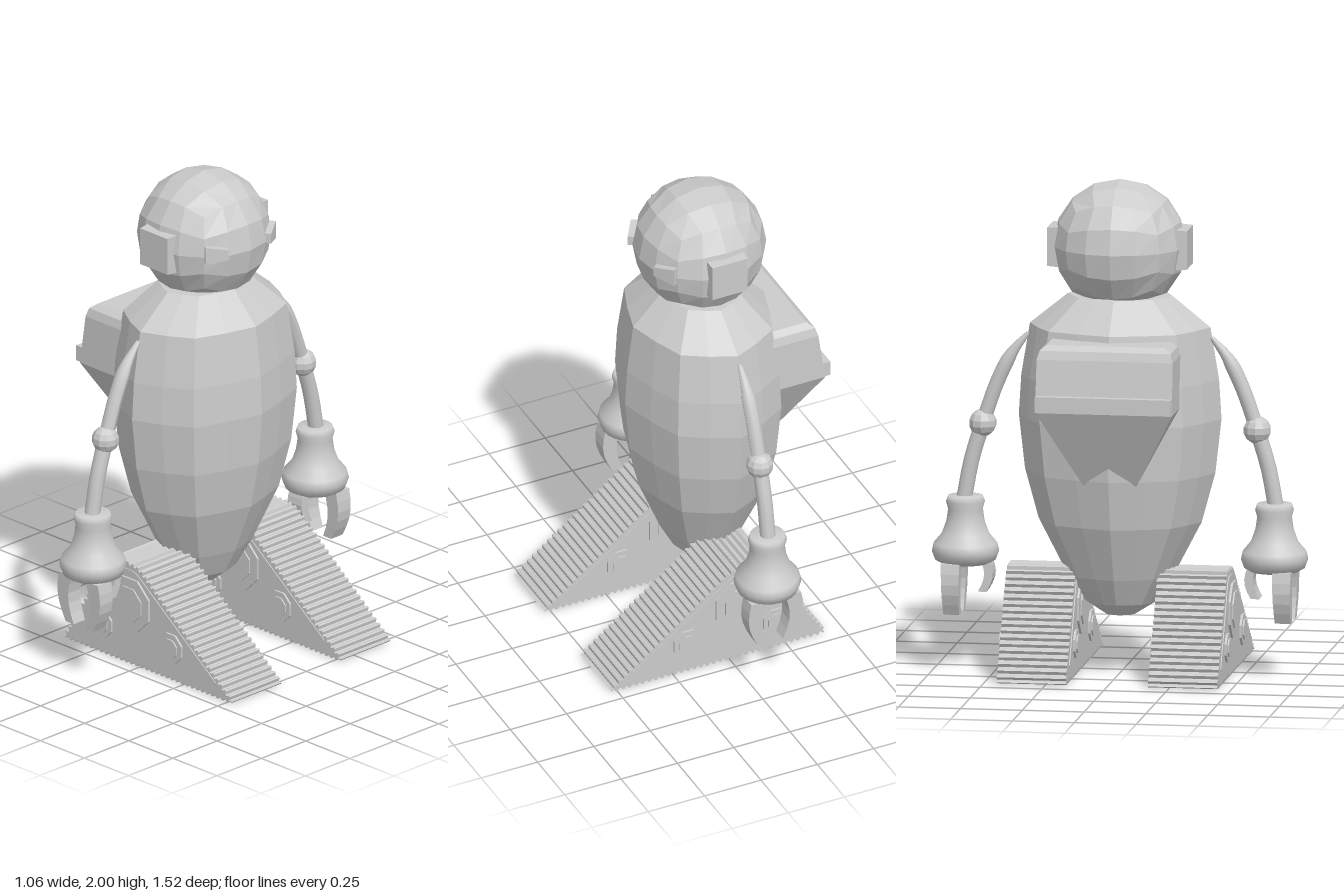
import * as THREE from 'three';

const flat = new THREE.MeshStandardMaterial({ color: 0xcccccc, flatShading: true });
const smooth = new THREE.MeshStandardMaterial({ color: 0xcccccc });
const CX = -0.08; // centre line of head, body and arms

function add(parent, name, geometry, material = flat, x = 0, y = 0, z = 0) {
  const mesh = new THREE.Mesh(geometry, material);
  mesh.name = name;
  mesh.position.set(x, y, z);
  parent.add(mesh);
  return mesh;
}

// Move every vertex of a geometry by a rule
function reshape(geometry, rule) {
  const p = geometry.attributes.position;
  const v = new THREE.Vector3();
  for (let i = 0; i < p.count; i++) {
    v.fromBufferAttribute(p, i);
    rule(v, i);
    p.setXYZ(i, v.x, v.y, v.z);
  }
  geometry.computeVertexNormals();
  return geometry;
}

const lathe = (pts, n) => new THREE.LatheGeometry(pts.map(p => new THREE.Vector2(...p)), n);

// Faceted cube-sphere with a flat underside
function headGeometry(r) {
  return reshape(new THREE.BoxGeometry(2, 2, 2, 4, 4, 4), v => {
    for (const k of ['x', 'y', 'z']) v[k] = Math.tan(v[k] * Math.PI / 4);
    v.setLength(r);
    v.y = Math.max(v.y, -0.21);
  });
}

// Egg-shaped body: soft octagon in plan, wider across z
function bodyGeometry() {
  const profile = [[0, 0.235], [0.06, 0.24], [0.14, 0.29], [0.215, 0.4], [0.33, 0.62], [0.385, 0.82],
    [0.41, 1.04], [0.4, 1.2], [0.365, 1.41], [0.21, 1.535], [0, 1.54]];
  return reshape(lathe(profile, 16), (v, i) => {
    const side = Math.floor(i / profile.length);
    const f = side % 2 ? 0.945 : 1;
    v.x *= 0.79 * f;
    v.z *= f;
  });
}

// Backpack lofted from rows: [y, back x, half width]
function packGeometry() {
  const rows = [[1.385, -0.44, 0.24], [1.365, -0.465, 0.265], [1.33, -0.475, 0.275],
    [1.12, -0.505, 0.277], [0.77, -0.33, 0.09]];
  return reshape(new THREE.BoxGeometry(2, 4, 2, 1, 4, 1), v => {
    const [y, back, half] = rows[Math.round(2 - v.y)];
    v.set(v.x < 0 ? back : -0.2, y, v.z * half);
  });
}

// Rounded polygon path from corners [x, y, rounding]
function roundedPath(corners) {
  const path = new THREE.Path();
  const n = corners.length;
  const at = i => new THREE.Vector2(corners[i % n][0], corners[i % n][1]);
  for (let i = 0; i < n; i++) {
    const c = at(i), d = corners[i][2];
    const a = at(i + n - 1).sub(c).setLength(d).add(c);
    const b = at(i + 1).sub(c).setLength(d).add(c);
    if (i === 0) path.moveTo(a.x, a.y); else path.lineTo(a.x, a.y);
    path.quadraticCurveTo(c.x, c.y, b.x, b.y);
  }
  path.closePath();
  return path;
}

// Triangular track with square treads round its edge
function treadShape() {
  const path = roundedPath([[-0.435, 0, 0.04], [0.55, 0, 0.05], [-0.01, 0.44, 0.05], [-0.165, 0.44, 0.04]]);
  const pts = path.getSpacedPoints(320).slice(0, 320);
  return new THREE.Shape(pts.map((p, i) => {
    const t = pts[(i + 1) % 320].clone().sub(pts[(i + 319) % 320]).normalize();
    const depth = i % 4 < 2 ? 0 : 0.013;
    return new THREE.Vector2(p.x - t.y * depth, p.y + t.x * depth);
  }));
}

function buildTrack(s) {
  const track = new THREE.Group();
  track.name = s > 0 ? 'rightTrack' : 'leftTrack';
  track.position.z = s * 0.306;
  const extrude = (shape, d) =>
    new THREE.ExtrudeGeometry(shape, { depth: d, bevelEnabled: false }).translate(0, 0, -d / 2);
  add(track, 'treadBelt', extrude(treadShape(), 0.28));
  const plate = roundedPath([[-0.345, 0.06, 0.02], [0.445, 0.06, 0.02], [-0.02, 0.41, 0.03], [-0.145, 0.41, 0.03]]);
  add(track, 'sidePlate', extrude(new THREE.Shape(plate.getPoints(3)), 0.288));
  // Octagonal wheels with raised hubs on both faces
  for (const [x, y, r] of [[-0.045, 0.265, 0.12], [-0.2, 0.135, 0.06], [0.19, 0.143, 0.066]]) {
    for (const [name, radius, width] of [['wheel', r, 0.306], ['hub', r * 0.65, 0.318]]) {
      const g = new THREE.CylinderGeometry(radius, radius, width, 8).rotateX(Math.PI / 2).rotateZ(Math.PI / 8);
      add(track, name, g, flat, x, y);
    }
  }
  return track;
}

// Finger: a bent, tapering box; t runs from 0 at the top to 1 at the tip
function finger(w, h, d, bend) {
  return reshape(new THREE.BoxGeometry(w, h, d, 1, 5, 1), v => bend(v, 0.5 - v.y / h));
}

function buildArm(s) {
  const arm = new THREE.Group();
  arm.name = s > 0 ? 'rightArm' : 'leftArm';
  arm.position.x = CX;
  const limb = pts => new THREE.CatmullRomCurve3(pts.map(([y, z]) => new THREE.Vector3(0, y, s * z)));
  // Upper arm, narrowing to the shoulder
  const path = limb([[1.37, 0.37], [1.29, 0.435], [1.17, 0.495], [1.0, 0.555]]);
  const upper = new THREE.TubeGeometry(path, 12, 0.03, 10);
  const ringCentre = new THREE.Vector3();
  reshape(upper, (v, i) => {
    const t = Math.floor(i / 11) / 12;
    path.getPointAt(t, ringCentre);
    v.sub(ringCentre).multiplyScalar(Math.min(1, 0.3 + t * 2)).add(ringCentre);
  });
  add(arm, 'upperArm', upper, smooth);
  add(arm, 'elbow', new THREE.SphereGeometry(0.056, 10, 7), flat, 0, 1.0, s * 0.555);
  add(arm, 'forearm', new THREE.TubeGeometry(limb([[1.0, 0.555], [0.85, 0.6], [0.68, 0.632]]), 6, 0.032, 10), smooth);
  // Bell-shaped wrist
  const bell = [[0, 0.43], [0.095, 0.43], [0.122, 0.445], [0.135, 0.48], [0.128, 0.51], [0.095, 0.55],
    [0.077, 0.6], [0.07, 0.65], [0.078, 0.68], [0.07, 0.703], [0, 0.705]];
  add(arm, 'wristBell', lathe(bell, 24), smooth, 0, 0, s * 0.625);
  // Two outer fingers and one thumb
  for (const side of [-1, 1]) {
    add(arm, 'finger', finger(0.07, 0.21, 0.075, (v, t) => {
      v.x = v.x * (1 - 0.35 * t) + side * (0.025 * Math.sin(t * Math.PI) - 0.02 * t);
      v.z *= 1 - 0.15 * t;
    }), flat, side * 0.075, 0.335, s * 0.67);
  }
  add(arm, 'thumb', finger(0.08, 0.13, 0.035, (v, t) => {
    v.z += s * (0.012 * t - 0.02 * Math.sin(t * Math.PI));
  }), flat, 0, 0.385, s * 0.54);
  return arm;
}

export function createModel() {
  const model = new THREE.Group();
  model.name = 'robot';

  add(model, 'body', bodyGeometry(), flat, -0.075);
  add(model, 'backpack', packGeometry());
  add(model, 'backpackRidge', new THREE.BoxGeometry(0.07, 0.065, 0.55), flat, -0.493, 1.155, 0);

  const head = new THREE.Group();
  head.name = 'head';
  head.position.set(CX, 1.735, 0);
  model.add(head);
  add(head, 'skull', headGeometry(0.268));
  for (const s of [-1, 1]) {
    // Ear panel with bevelled outer face
    add(head, 'earPanel', reshape(new THREE.BoxGeometry(0.165, 0.165, 0.06), v => {
      if (v.z * s > 0) { v.x *= 0.94; v.y *= 0.94; }
    }), flat, 0, -0.002, s * 0.253);
    // Eye plate, taller on its outer side
    const eye = reshape(new THREE.BoxGeometry(0.04, 0.075, 0.095), v => {
      if (v.z * s < 0) v.y *= 0.55;
    });
    add(head, 'eye', eye, flat, 0.218, 0.012, s * 0.147).rotation.y = -s * 0.59;
  }

  for (const s of [-1, 1]) model.add(buildArm(s), buildTrack(s));
  return model;
}
